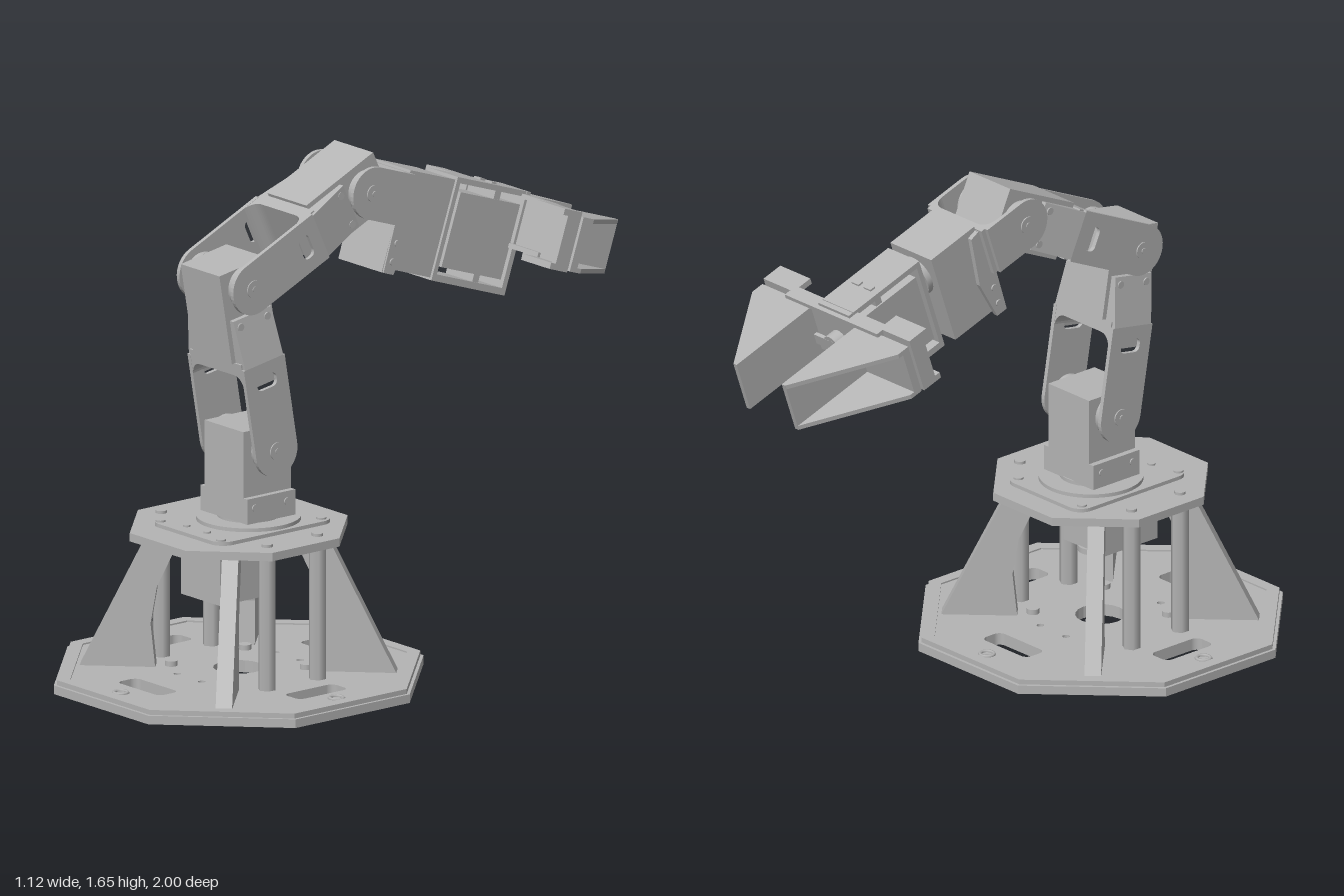
import * as THREE from 'three';

const grey = new THREE.MeshStandardMaterial({ color: 0xb4b4b4 });
grey.name = 'light grey';

function add(parent, name, geo, x = 0, y = 0, z = 0) {
  const m = new THREE.Mesh(geo, grey);
  m.name = name;
  m.position.set(x, y, z);
  parent.add(m);
  return m;
}
// Box given by its minimum and maximum on each axis
function box(parent, name, x0, x1, y0, y1, z0, z1) {
  return add(parent, name, new THREE.BoxGeometry(x1 - x0, y1 - y0, z1 - z0),
    (x0 + x1) / 2, (y0 + y1) / 2, (z0 + z1) / 2);
}
const poly = pts => new THREE.Shape(pts.map(p => new THREE.Vector2(p[0], p[1])));
function circle(x, y, r) {
  const p = new THREE.Path();
  p.absarc(x, y, r, 0, Math.PI * 2, true);
  return p;
}
// Rounded slot of full size w by h
function slot(x, y, w, h, r = Math.min(w, h) * 0.3) {
  const p = new THREE.Path(), a = w / 2 - r, b = h / 2 - r;
  p.absarc(x + a, y + b, r, 0, Math.PI / 2);
  p.absarc(x - a, y + b, r, Math.PI / 2, Math.PI);
  p.absarc(x - a, y - b, r, Math.PI, Math.PI * 1.5);
  p.absarc(x + a, y - b, r, Math.PI * 1.5, Math.PI * 2);
  p.closePath();
  return p;
}
function octagon(apothem) {
  const r = apothem / Math.cos(Math.PI / 8), pts = [];
  for (let i = 0; i < 8; i++) {
    const a = (i + 0.5) * Math.PI / 4;
    pts.push([r * Math.cos(a), r * Math.sin(a)]);
  }
  return poly(pts);
}
const extrude = (shape, depth) =>
  new THREE.ExtrudeGeometry(shape, { depth, bevelEnabled: false, curveSegments: 10 });
// Horizontal plate rising from y = 0
const slab = (shape, depth) => extrude(shape, depth).rotateX(-Math.PI / 2);
// Plate in the z-y plane (shape x runs along z), centred on x
const sidePlate = (shape, depth) =>
  extrude(shape, depth).translate(0, 0, -depth / 2).rotateY(-Math.PI / 2);
// Disc whose axis runs along x
const discX = (r, t) => new THREE.CylinderGeometry(r, r, t, 32).rotateZ(Math.PI / 2);

function makeBase() {
  const g = new THREE.Group();
  g.name = 'base';
  g.position.z = 0.44;
  const holes = [circle(0, 0, 0.08)];
  for (const s of [-1, 1]) {
    holes.push(slot(s * 0.38, 0, 0.08, 0.2), slot(0, s * 0.37, 0.21, 0.08));
    for (const t of [-1, 1]) holes.push(circle(s * 0.15, t * 0.15, 0.012), circle(s * 0.06, t * 0.2, 0.012));
  }
  const floor = octagon(0.56), deck = octagon(0.51), rim = octagon(0.55);
  floor.holes.push(...holes);
  deck.holes.push(...holes);
  rim.holes.push(octagon(0.51));
  add(g, 'floorPlate', slab(floor, 0.028));
  add(g, 'floorDeck', slab(deck, 0.011), 0, 0.028);
  add(g, 'floorRim', slab(rim, 0.016), 0, 0.028);
  for (let i = 0; i < 4; i++) {
    const a = i * Math.PI / 2;
    const ring = add(g, 'floorScrewRing', new THREE.TorusGeometry(0.022, 0.006, 6, 20), 0.48 * Math.cos(a), 0.04, 0.48 * Math.sin(a));
    ring.rotation.x = Math.PI / 2;
    // Diagonal buttress
    const b = poly([[0.26, 0.035], [0.5, 0.035], [0.28, 0.48], [0.185, 0.48], [0.19, 0.44], [0.255, 0.3], [0.275, 0.18]]);
    add(g, 'buttress', extrude(b, 0.052).translate(0, 0, -0.026)).rotation.y = a + Math.PI / 4;
  }
  // Spacer columns and their screws
  for (const x of [-0.26, 0.26]) for (const z of [-0.105, 0.1]) {
    add(g, 'column', new THREE.CylinderGeometry(0.029, 0.029, 0.45, 6), x, 0.26, z);
    add(g, 'columnScrew', new THREE.CylinderGeometry(0.018, 0.018, 0.012, 16), x, 0.506, z);
  }
  for (const x of [-0.15, 0.15]) for (const z of [-0.15, 0.15])
    add(g, 'floorScrew', new THREE.CylinderGeometry(0.02, 0.02, 0.022, 16), x, 0.045, z);
  // Upper deck
  add(g, 'upperDeck', slab(octagon(0.33), 0.027), 0, 0.476);
  const mount = new THREE.Shape(slot(0, 0.015, 0.356, 0.47, 0.05).getPoints(6));
  add(g, 'mountPlate', slab(mount, 0.012), 0, 0.503);
  for (const x of [-0.148, 0.148]) for (const z of [-0.213, 0.195])
    add(g, 'mountScrew', new THREE.CylinderGeometry(0.016, 0.016, 0.008, 16), x, 0.517, z);
  for (const x of [-0.05, 0.05])
    add(g, 'mountScrew', new THREE.CylinderGeometry(0.012, 0.012, 0.008, 16), x, 0.517, 0.17);
  // Turning motor hung below the deck
  box(g, 'turnMotor', -0.095, 0.095, 0.284, 0.476, -0.07, 0.155);
  add(g, 'turnMotorCap', new THREE.CylinderGeometry(0.045, 0.045, 0.018, 24), 0, 0.277, -0.035);
  add(g, 'turntable', new THREE.CylinderGeometry(0.165, 0.165, 0.014, 48), 0, 0.52, -0.04);
  add(g, 'turntableHub', new THREE.CylinderGeometry(0.1, 0.1, 0.014, 32), 0, 0.532, -0.04);
  // Shoulder motor in its bracket
  box(g, 'shoulderMotor', -0.095, 0.095, 0.537, 0.832, -0.135, 0.06);
  box(g, 'shoulderBracketFloor', -0.115, 0.115, 0.535, 0.548, -0.135, 0.06);
  for (const s of [-1, 1]) {
    box(g, 'shoulderBracketSide', Math.min(s * 0.095, s * 0.115), Math.max(s * 0.095, s * 0.115), 0.535, 0.617, -0.135, 0.06);
    for (const z of [-0.1, 0.03]) add(g, 'bracketScrew', discX(0.011, 0.006), s * 0.116, 0.585, z);
  }
  return g;
}

// Yoke arms around a pivot at the origin; local y runs along the link
function yoke(g, length, withSlot) {
  const s = new THREE.Shape();
  s.moveTo(0.084, length);
  s.lineTo(-0.084, length);
  s.lineTo(-0.084, 0);
  s.absarc(0, 0, 0.084, Math.PI, Math.PI * 2);
  s.closePath();
  if (withSlot) s.holes.push(slot(0, 0.235, 0.08, 0.045, 0.018));
  for (const side of [-1, 1]) {
    add(g, 'yokeArm', sidePlate(s, 0.014), side * 0.132);
    add(g, 'motorHorn', discX(0.068, 0.018), side * 0.104);
    add(g, 'hornCollar', discX(0.045, 0.02), side * 0.117);
    add(g, 'pivotRing', discX(0.028, 0.006), side * 0.14);
    add(g, 'pivotScrew', discX(0.009, 0.006), side * 0.143);
  }
}
// Cross wall of the yoke, its lower corners filleted
function bridge(g, y, top, halfWidth) {
  const s = poly([[-0.126, top], [-0.126, y - 0.05]]);
  s.quadraticCurveTo(-0.124, y, -0.08, y);
  s.lineTo(0.08, y);
  s.quadraticCurveTo(0.124, y, 0.126, y - 0.05);
  s.lineTo(0.126, top);
  add(g, 'yokeBridge', extrude(s, halfWidth * 2).translate(0, 0, -halfWidth));
}
function makeLink(name) {
  const g = new THREE.Group();
  g.name = name;
  yoke(g, 0.3, true);
  bridge(g, 0.275, 0.318, 0.083);
  box(g, 'jointMotor', -0.095, 0.095, 0.318, 0.617, -0.094, 0.094);
  for (const s of [-1, 1]) {
    const c = poly([[s * 0.094, 0.3], [s * 0.139, 0.3], [s * 0.112, 0.46], [s * 0.094, 0.46]]);
    add(g, 'motorCradle', extrude(c, 0.156).translate(0, 0, -0.078));
    for (const z of [-0.055, 0.055]) add(g, 'cradleScrew', discX(0.012, 0.012), s * 0.113, 0.435, z);
  }
  return g;
}

function makeWrist() {
  const g = new THREE.Group();
  g.name = 'wristAndGripper';
  yoke(g, 0.15, false);
  bridge(g, 0.142, 0.165, 0.084);
  // Wrist motor set across the link
  box(g, 'wristMotor', -0.095, 0.095, 0.165, 0.357, -0.225, 0.092);
  box(g, 'wristBackPlate', -0.105, 0.105, 0.145, 0.167, -0.24, 0.08);
  for (const s of [-1, 1]) {
    const c = poly([[-0.24, 0.148], [0.084, 0.14], [0.07, 0.2], [-0.1, 0.22], [-0.24, 0.19]]);
    add(g, 'wristCradle', sidePlate(c, 0.016), s * 0.103);
    for (const z of [-0.2, -0.14]) add(g, 'cradleScrew', discX(0.011, 0.008), s * 0.112, 0.172, z);
  }
  add(g, 'wristHorn', new THREE.CylinderGeometry(0.068, 0.068, 0.02, 32), 0, 0.367, 0);
  add(g, 'wristShaft', new THREE.CylinderGeometry(0.04, 0.04, 0.04, 24), 0, 0.375, 0);
  // Gripper frame and motor
  box(g, 'frameBack', -0.072, 0.072, 0.386, 0.402, -0.235, 0.1);
  box(g, 'frameTop', -0.072, 0.072, 0.4, 0.68, 0.082, 0.1);
  box(g, 'frameBottom', -0.072, 0.072, 0.4, 0.7, -0.235, -0.213);
  box(g, 'frameFront', -0.072, 0.072, 0.682, 0.7, -0.235, 0.1);
  box(g, 'gripMotor', -0.07, 0.07, 0.415, 0.67, -0.188, 0.055);
  box(g, 'gripMotorLug', -0.065, 0.065, 0.56, 0.585, -0.215, 0.085);
  for (const x of [-0.028, 0.028]) box(g, 'frameClip', x - 0.016, x + 0.016, 0.555, 0.575, 0.098, 0.106);
  add(g, 'gripHorn', new THREE.CylinderGeometry(0.034, 0.034, 0.055, 20), 0, 0.72, -0.012);
  box(g, 'gripCrank', -0.075, 0.075, 0.735, 0.748, -0.03, 0.006);
  // Slide rail
  box(g, 'railPlate', -0.215, 0.215, 0.692, 0.708, -0.075, 0.08);
  box(g, 'railTop', -0.215, 0.215, 0.665, 0.715, 0.075, 0.09);
  box(g, 'railBottom', -0.215, 0.215, 0.665, 0.715, -0.085, -0.07);
  // Mirrored carriages and jaws
  for (const s of [-1, 1]) {
    const jaw = new THREE.Group();
    jaw.name = s > 0 ? 'leftJaw' : 'rightJaw';
    const part = (name, xa, xb, ...r) => box(jaw, name, Math.min(s * xa, s * xb), Math.max(s * xa, s * xb), ...r);
    part('carriageWall', 0.2, 0.34, 0.675, 0.69, -0.1, 0.09);
    part('carriageTop', 0.2, 0.34, 0.615, 0.69, 0.07, 0.09);
    part('carriageBottom', 0.2, 0.34, 0.615, 0.69, -0.105, -0.085);
    part('carriageEnd', 0.32, 0.34, 0.635, 0.69, -0.1, 0.09);
    part('jawRoot', 0.105, 0.34, 0.7, 0.728, -0.1, 0.076);
    part('jawPad', 0.105, 0.121, 0.715, 1.04, -0.1, 0.076);
    for (const z of [-0.1, 0.061]) {
      const t = poly([[s * 0.105, 0.715], [s * 0.34, 0.715], [s * 0.34, 0.745], [s * 0.12, 1.04], [s * 0.105, 1.04]]);
      add(jaw, 'jawFlange', extrude(t, 0.015), 0, 0, z);
    }
    g.add(jaw);
  }
  return g;
}

export function createModel() {
  const model = new THREE.Group();
  model.name = 'robotArm';
  model.add(makeBase());
  const place = (part, y, z, tilt) => {
    part.position.set(0, y, z);
    part.rotation.x = tilt;
    model.add(part);
  };
  place(makeLink('upperArm'), 0.763, 0.4, 0.17);
  place(makeLink('forearm'), 1.305, 0.493, -1.139);
  place(makeWrist(), 1.53, 0.005, -1.901);
  return model;
}
